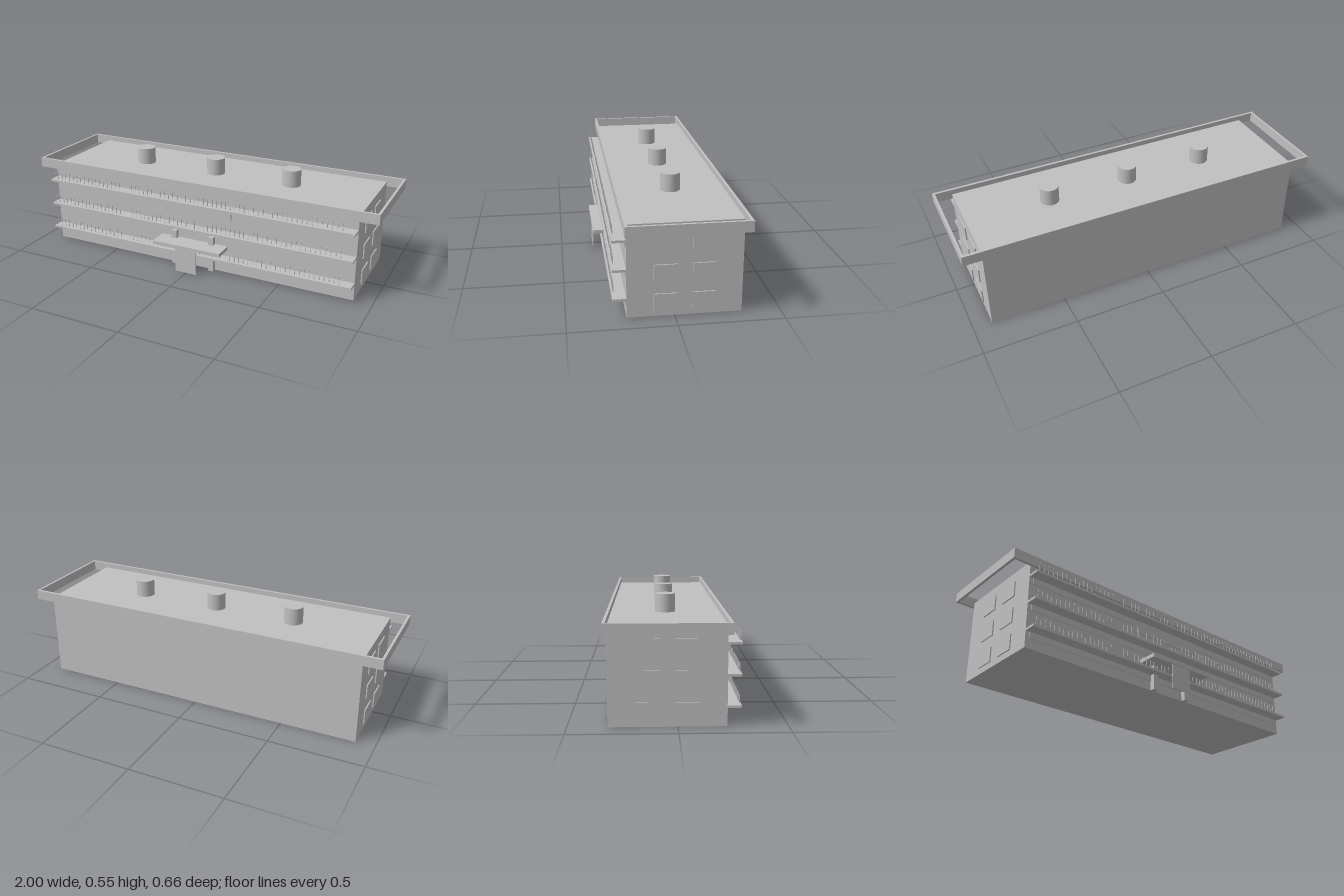
import * as THREE from 'three';

export function createModel() {
  const root = new THREE.Group();
  const grey = new THREE.MeshStandardMaterial({ color: 0xc0c0c0 });
  grey.name = 'concrete grey';

  // Box given by its limits on each axis
  function box(name, [x0, x1], [y0, y1], [z0, z1], parent = root) {
    const mesh = new THREE.Mesh(new THREE.BoxGeometry(x1 - x0, y1 - y0, z1 - z0), grey);
    mesh.position.set((x0 + x1) / 2, (y0 + y1) / 2, (z0 + z1) / 2);
    mesh.name = name;
    parent.add(mesh);
    return mesh;
  }

  const back = -0.317, front = 0.223;
  box('buildingBody', [-0.9, 0.9], [0, 0.46], [back, front]);

  // Overhanging roof parapet, open beyond both ends of the body
  const parapet = new THREE.Group();
  parapet.name = 'parapet';
  root.add(parapet);
  const rim = [0.435, 0.488];
  box('parapetFront', [-0.997, 0.997], rim, [front, 0.237], parapet);
  box('parapetBack', [-0.997, 0.997], rim, [-0.331, back], parapet);
  box('parapetLeft', [0.987, 1], rim, [-0.331, 0.237], parapet);
  box('parapetRight', [-1, -0.987], rim, [-0.331, 0.237], parapet);

  // Roof vents
  for (const x of [-0.45, 0, 0.45]) {
    const vent = new THREE.Mesh(new THREE.CylinderGeometry(0.05, 0.05, 0.091, 32), grey);
    vent.position.set(x, 0.5055, -0.047);
    vent.name = 'roofVent';
    root.add(vent);
  }

  // End windows, two per floor on each side
  for (const side of [-1, 1]) {
    for (const y of [0.033, 0.178, 0.322]) {
      for (const z of [-0.191, -0.01 - 0.001]) {
        const x = [side * 0.899, side * 0.906].sort((a, b) => a - b);
        box('endWindow', x, [y, y + 0.081], [z, z + 0.109]);
      }
    }
  }

  // Balconies: slab, strip under it, and a row of railing posts
  for (const y of [0.085, 0.23, 0.374]) {
    const balcony = new THREE.Group();
    balcony.name = 'balcony';
    root.add(balcony);
    box('balconySlab', [-0.9, 0.9], [y, y + 0.012], [front, 0.287], balcony);
    box('wallStrip', [-0.88, 0.88], [y - 0.032, y], [front, 0.227], balcony);
    for (let i = 0; i <= 66; i++) {
      const x = -0.88 + i * 0.026;
      if (x > -0.42 && x < -0.36) continue;
      box('railingPost', [x - 0.0015, x + 0.0015], [y + 0.018, y + 0.059], [0.2765, 0.2795], balcony);
    }
  }

  // Plain panel below the top balcony
  box('frontPanel', [-0.22, 0.22], [0.305, 0.374], [front, 0.23]);

  // Entrance: canopy, pillars and the door plate
  box('canopy', [-0.2, 0.2], [0.135, 0.155], [front, 0.331]);
  for (const x of [-0.113, 0.11]) {
    box('entrancePillar', [x - 0.015, x + 0.015], [0, 0.199], [front, 0.249]);
  }
  box('doorPlate', [-0.065, 0.06], [0, 0.135], [0.322, 0.326]);

  return root;
}
